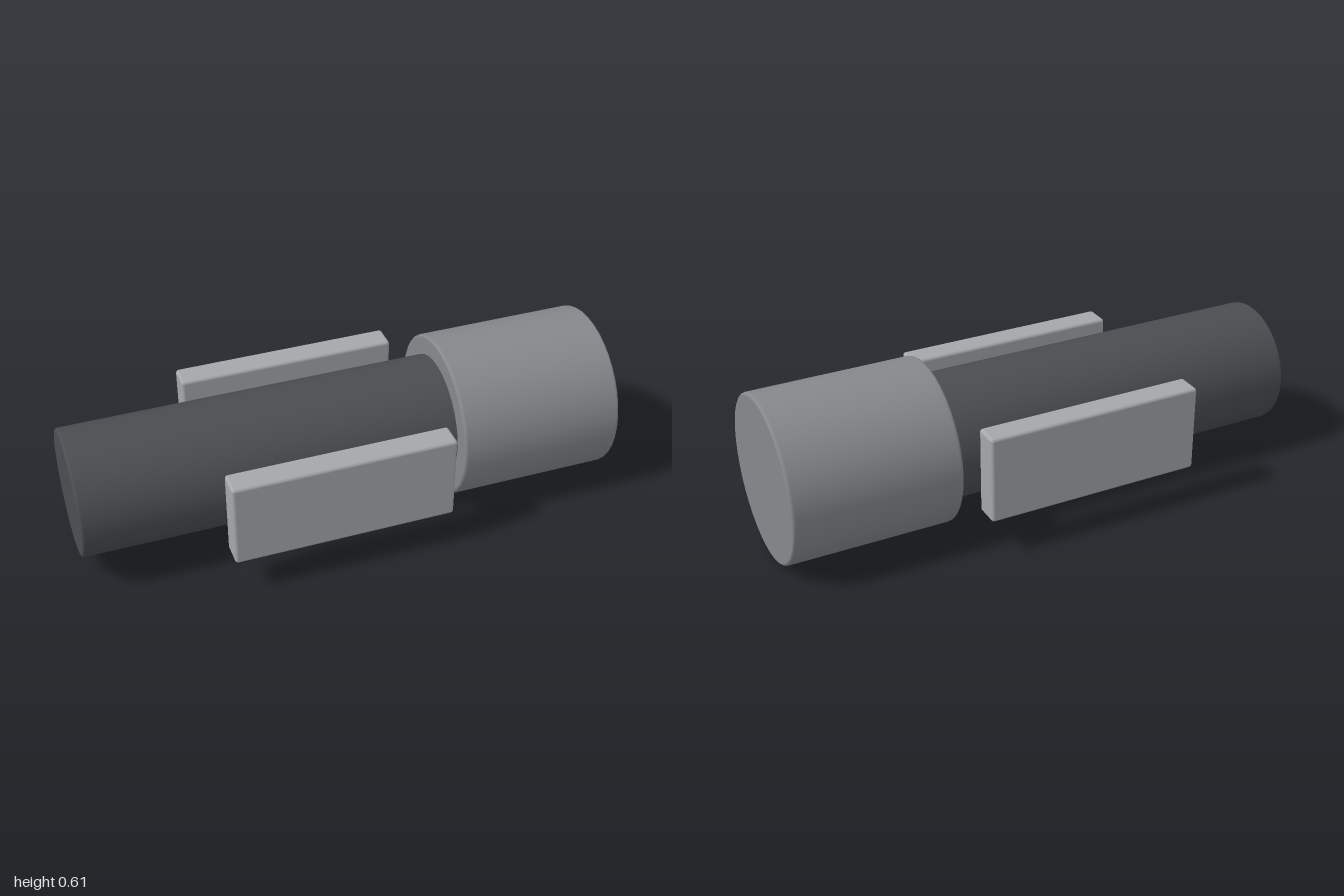
import * as THREE from 'three';
import { RoundedBoxGeometry } from 'three/addons/geometries/RoundedBoxGeometry.js';

const AXIS_Y = 0.306;
const BEVEL = 0.01;

const material = (color) => new THREE.MeshStandardMaterial({ color });

// Closed cylinder lying along x, with rounded rims
function roundedCylinder(name, x0, x1, radius, mat) {
  const inner = radius - BEVEL;
  const length = x1 - x0;
  const half = length / 2;
  const rim = [];
  for (let i = 0; i <= 4; i++) {
    const a = (i / 4) * Math.PI / 2;
    rim.push([inner + BEVEL * Math.sin(a), half - BEVEL + BEVEL * Math.cos(a)]);
  }
  // support points keep the caps and the side evenly shaded
  const upper = [[0, half], [inner - 0.002, half], ...rim, [radius, half - BEVEL - 0.002]];
  const lower = upper.map(([r, h]) => [r, -h]);
  const profile = [...lower, ...upper.reverse()].map(([r, h]) => new THREE.Vector2(r, h));
  const mesh = new THREE.Mesh(new THREE.LatheGeometry(profile, 40), mat);
  mesh.name = name;
  mesh.rotation.z = -Math.PI / 2;
  mesh.position.set((x0 + x1) / 2, AXIS_Y, 0);
  return mesh;
}

export function createModel() {
  const model = new THREE.Group();
  model.name = 'cylinderWithSidePlates';

  // Long dark barrel and the wider head at its end
  model.add(roundedCylinder('barrel', -1, 0.4, 0.232, material(0x4b4e51)));
  model.add(roundedCylinder('head', 0.383, 1, 0.305, material(0x85898c)));

  // Free-standing plates on both sides of the barrel
  const plateMaterial = material(0xa4a8ab);
  const plateGeometry = new RoundedBoxGeometry(0.82, 0.328, 0.097, 3, 0.012);
  for (const side of [1, -1]) {
    const plate = new THREE.Mesh(plateGeometry, plateMaterial);
    plate.name = side > 0 ? 'frontPlate' : 'backPlate';
    plate.position.set(-0.095, AXIS_Y + 0.001, side * 0.33);
    model.add(plate);
  }

  return model;
}
